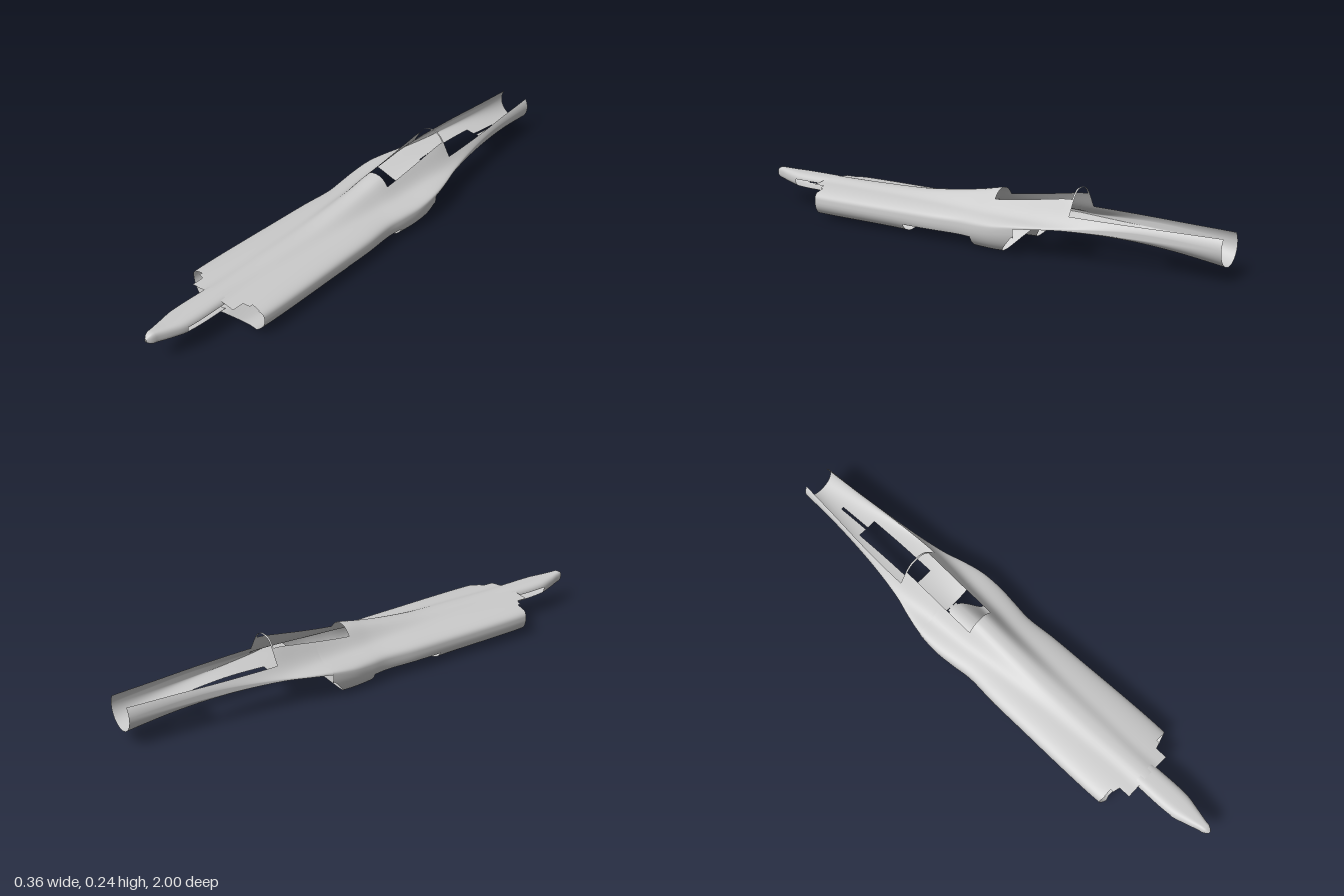
import * as THREE from 'three';

// Smooth (Hermite) lookup in a table of rows [z, ...values], z ascending
function lookup(rows, z) {
  let i = 0;
  while (i < rows.length - 2 && z > rows[i + 1][0]) i++;
  const a = rows[i], b = rows[i + 1], p = rows[Math.max(i - 1, 0)], n = rows[Math.min(i + 2, rows.length - 1)];
  const h = b[0] - a[0], t = (z - a[0]) / h, t2 = t * t, t3 = t2 * t;
  return a.slice(1).map((v, k) => {
    const w = b[k + 1];
    const ma = (w - p[k + 1]) / (b[0] - p[0]) * h, mb = (n[k + 1] - v) / (n[0] - a[0]) * h;
    return v * (2 * t3 - 3 * t2 + 1) + ma * (t3 - 2 * t2 + t) + w * (3 * t2 - 2 * t3) + mb * (t3 - t2);
  });
}

// Upper skin: z, half width, spine top, shoulder height, edge height, spine width, edge fullness
const UPPER = [
  [-1, 0.066, 0.181, 0.181, 0.115, 0.08, 1],
  [-0.8, 0.077, 0.195, 0.165, 0.115, 0.08, 1],
  [-0.6, 0.098, 0.22, 0.14, 0.113, 0.08, 0.9],
  [-0.44, 0.126, 0.242, 0.127, 0.111, 0.08, 0.7],
  [-0.35, 0.152, 0.23, 0.127, 0.107, 0.077, 0.65],
  [-0.27, 0.17, 0.218, 0.127, 0.1, 0.072, 0.6],
  [-0.18, 0.175, 0.205, 0.127, 0.085, 0.068, 0.6],
  [-0.1, 0.168, 0.194, 0.127, 0.075, 0.065, 0.55],
  [-0.02, 0.16, 0.178, 0.127, 0.072, 0.06, 0.55],
  [0.1, 0.168, 0.16, 0.127, 0.07, 0.055, 0.55],
  [0.25, 0.172, 0.144, 0.126, 0.07, 0.05, 0.55],
  [0.45, 0.177, 0.137, 0.125, 0.07, 0.045, 0.55],
  [0.6, 0.178, 0.135, 0.124, 0.07, 0.04, 0.55],
  [0.71, 0.173, 0.135, 0.123, 0.07, 0.04, 0.55],
];
// Underside of the forebody: z, centre height, sharpness
const FORE_BOTTOM = [[-1, 0.049, 1], [-0.8, 0.078, 1], [-0.6, 0.097, 1.2], [-0.45, 0.094, 2], [-0.35, 0.084, 4], [-0.27, 0.072, 6]];
// Lowest point of the nacelles
const NACELLE = [[-0.27, 0.004], [-0.12, 0], [0.1, 0.006], [0.3, 0.013], [0.71, 0.014]];
// Tail sting: z, half width, top, bottom
const STING = [[0.69, 0.05, 0.134, 0.072], [0.85, 0.049, 0.135, 0.075], [0.92, 0.033, 0.136, 0.084], [0.965, 0.02, 0.138, 0.093],
  [0.985, 0.016, 0.137, 0.097], [1, 0.004, 0.122, 0.11]];

function upperHalf(z, n = 24) {
  const [w, top, sh, edge, sw, q] = lookup(UPPER, z), pts = [];
  for (let i = 0; i <= n; i++) {
    const t = i / n * Math.PI / 2, x = w * Math.sin(t), c = Math.max(Math.cos(t), 0);
    const k = Math.exp(-Math.pow(x / sw, 3));
    pts.push([x, edge + (sh - edge) * Math.pow(c, q) + (top - sh) * k * (i === n ? 0 : 1)]);
  }
  return pts;
}

function foreSection(z) {
  const pts = upperHalf(z), [w, , , edge] = lookup(UPPER, z), [bot, r] = lookup(FORE_BOTTOM, z);
  for (let i = 19; i >= 0; i--) {
    const t = i / 20 * Math.PI / 2;
    pts.push([w * Math.sin(t), edge - (edge - bot) * Math.pow(Math.cos(t), r)]);
  }
  return pts;
}

function nacelleSection(z) {
  const pts = upperHalf(z), [w, , , edge] = lookup(UPPER, z), [low] = lookup(NACELLE, z);
  const key = [];
  for (let d = 0; d <= 130; d += 13) {
    const a = d * Math.PI / 180;
    key.push(new THREE.Vector3(w - 0.06 + 0.06 * Math.cos(a), edge - (edge - low) * Math.sin(a), 0));
  }
  // trough between the two nacelles
  key.push(new THREE.Vector3(0.052, 0.048, 0), new THREE.Vector3(0.028, 0.066, 0), new THREE.Vector3(0, 0.072, 0));
  new THREE.CatmullRomCurve3(key).getPoints(32).slice(1).forEach(p => pts.push([Math.max(p.x, 0), p.y]));
  return pts;
}

function stingSection(z) {
  const [w, top, bot] = lookup(STING, z), mid = (top + bot) / 2, pts = [];
  for (let i = 0; i <= 24; i++) {
    const a = i / 24 * Math.PI, c = Math.cos(a);
    pts.push([w * Math.pow(Math.abs(Math.sin(a)), 0.6), mid + (top - bot) / 2 * Math.sign(c) * Math.pow(Math.abs(c), 0.8)]);
  }
  pts[0][0] = pts[24][0] = 0;
  return pts;
}

// Skin mirrored half-sections along z, giving triangles of [x, y, z, nx, ny, nz]
function loft(section, z0, z1, steps) {
  const pos = [], idx = [];
  let m = 0;
  for (let i = 0; i <= steps; i++) {
    const z = z0 + (z1 - z0) * i / steps, half = section(z);
    const ring = half.concat(half.slice(1, -1).reverse().map(([x, y]) => [-x, y]));
    m = ring.length;
    ring.forEach(([x, y]) => pos.push(x, y, z));
  }
  for (let i = 0; i < steps; i++) for (let j = 0; j < m; j++) {
    const a = i * m + j, b = i * m + (j + 1) % m, c = a + m, d = b + m;
    idx.push(a, c, b, b, c, d);
  }
  const g = new THREE.BufferGeometry();
  g.setAttribute('position', new THREE.Float32BufferAttribute(pos, 3));
  g.setIndex(idx);
  g.computeVertexNormals();
  const nor = g.attributes.normal.array, tris = [];
  const vert = i => [...pos.slice(3 * i, 3 * i + 3), ...nor.slice(3 * i, 3 * i + 3)];
  for (let i = 0; i < idx.length; i += 3) tris.push([vert(idx[i]), vert(idx[i + 1]), vert(idx[i + 2])]);
  return tris;
}

// Split a polygon by a plane [a, b, c, d]; inside means ax + by + cz < d
function split(poly, [a, b, c, d]) {
  const inside = [], outside = [];
  const dist = p => a * p[0] + b * p[1] + c * p[2] - d;
  poly.forEach((p, i) => {
    const q = poly[(i + 1) % poly.length], dp = dist(p), dq = dist(q);
    (dp < 0 ? inside : outside).push(p);
    if ((dp < 0) !== (dq < 0)) {
      const t = dp / (dp - dq), cut = p.map((v, k) => v + (q[k] - v) * t);
      inside.push(cut);
      outside.push(cut);
    }
  });
  return [inside, outside];
}

// Remove a convex region from a list of polygons
function subtract(polys, planes) {
  return polys.flatMap(poly => {
    let rest = poly;
    const kept = [];
    for (const plane of planes) {
      const [inside, outside] = split(rest, plane);
      if (inside.length < 3) return [poly];
      if (outside.length > 2) kept.push(outside);
      rest = inside;
    }
    return kept;
  });
}

const box = (x, y0, y1, z0, z1) => [[0, 0, -1, -z0], [0, 0, 1, z1], [0, -1, 0, -y0], [0, 1, 0, y1], [1, 0, 0, x], [-1, 0, 0, x]];

const CUTS = [
  box(0.055, 0.13, 1, -0.44, -0.12),          // opening behind the arch
  box(1, 0.155, 1, -2, -0.447),               // open cockpit and nose top
  box(0.04, -1, 0.13, -0.73, -0.425),         // nose gear bay
  box(0.005, -1, 0.13, -0.87, -0.72),         // keel slit
  box(1, -1, 0.042, -0.08, 0.22),             // main gear bays
  box(1, 0.08, 0.11, 0.66, 0.86),             // side windows of the sting
  [[0, 0.9, 1, -0.2], [0, 1, 0, 0.068], [0, 0, -1, 0.27]],   // raked intake lips
  [[0, 1.1, -1, -0.63], [0, 1, 0, 0.068], [0, 0, 1, 0.72]],  // raked nacelle ends
  ...[1, -1].flatMap(s => [                   // stepped rear edge
    [[-s, 0, 0, -0.1], [-0.3 * s, 0, -1, -0.695]],
    [[-s, 0, 0, -0.125], [s, 0, 0, 0.155], [0, 0, -1, -0.645], [0, -1, 0, -0.08]],
  ]),
];

function shell(name, tris, material) {
  const pos = [], nor = [];
  for (const poly of CUTS.reduce(subtract, tris)) {
    for (let i = 1; i < poly.length - 1; i++) for (const v of [poly[0], poly[i], poly[i + 1]]) {
      pos.push(v[0], v[1], v[2]);
      nor.push(v[3], v[4], v[5]);
    }
  }
  const g = new THREE.BufferGeometry();
  g.setAttribute('position', new THREE.Float32BufferAttribute(pos, 3));
  g.setAttribute('normal', new THREE.Float32BufferAttribute(nor, 3));
  g.normalizeNormals();
  const mesh = new THREE.Mesh(g, material);
  mesh.name = name;
  return mesh;
}

export function createModel() {
  const group = new THREE.Group();
  group.name = 'fuselageShell';
  const grey = new THREE.MeshStandardMaterial({ color: 0xcccccc, side: THREE.DoubleSide });
  group.add(
    shell('forebody', loft(foreSection, -1, -0.27, 50), grey),
    shell('engineNacelles', loft(nacelleSection, -0.27, 0.71, 70), grey),
    shell('tailSting', loft(stingSection, 0.69, 1, 30), grey),
  );
  return group;
}
